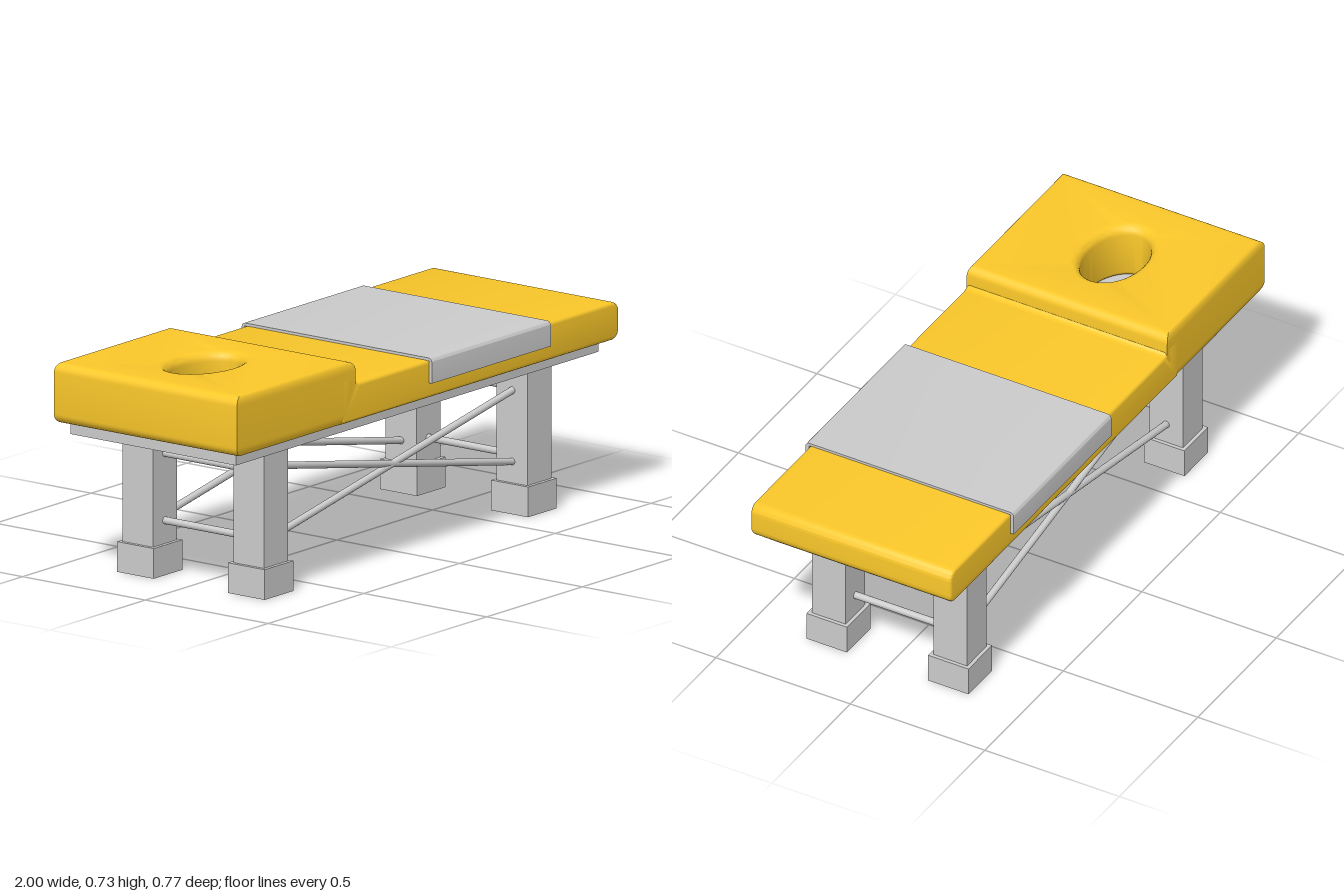
import * as THREE from 'three';
import { toCreasedNormals } from 'three/addons/utils/BufferGeometryUtils.js';

const grey = new THREE.MeshStandardMaterial({ color: 0xcccccc });
const yellow = new THREE.MeshStandardMaterial({ color: 0xfbc82a });

const HALF_Z = 0.373;   // half width of the cushions
const BOTTOM = 0.527;   // underside of the cushions

function add(parent, name, geometry, material = grey) {
  const mesh = new THREE.Mesh(geometry, material);
  mesh.name = name;
  parent.add(mesh);
  return mesh;
}

function box(parent, name, size, pos) {
  add(parent, name, new THREE.BoxGeometry(...size)).position.set(...pos);
}

// Round bar between two points
function bar(parent, name, a, b, radius = 0.012) {
  const from = new THREE.Vector3(...a), to = new THREE.Vector3(...b);
  const dir = to.clone().sub(from);
  const mesh = add(parent, name, new THREE.CylinderGeometry(radius, radius, dir.length(), 16));
  mesh.position.copy(from).add(to).multiplyScalar(0.5);
  mesh.quaternion.setFromUnitVectors(new THREE.Vector3(0, 1, 0), dir.normalize());
}

// Long cushion: side profile with rounded end and a fillet up to the headrest
function bodyCushion() {
  const top = 0.652, r = 0.035, inner = -0.45, step = -0.385, f = 0.028;
  const s = new THREE.Shape();
  s.moveTo(inner, BOTTOM);
  s.lineTo(1 - r, BOTTOM);
  s.absarc(1 - r, BOTTOM + r, r, -Math.PI / 2, 0);
  s.absarc(1 - r, top - r, r, 0, Math.PI / 2);
  s.lineTo(step + f, top);
  s.quadraticCurveTo(step, top, step, top + f);
  s.lineTo(inner, top + f);
  s.closePath();
  const b = 0.012;
  const g = new THREE.ExtrudeGeometry(s, {
    depth: 2 * (HALF_Z - b), bevelThickness: b, bevelSize: b, bevelOffset: -b,
    bevelSegments: 4, curveSegments: 8,
  });
  g.translate(0, 0, b - HALF_Z);
  return toCreasedNormals(g, 0.6);
}

// Raised headrest with an oval face opening, extruded upwards
function headCushion() {
  const x0 = -1, x1 = -0.38, top = 0.727, b = 0.032;
  const s = new THREE.Shape();
  s.moveTo(x0, -HALF_Z);
  s.lineTo(x1, -HALF_Z);
  s.lineTo(x1, HALF_Z);
  s.lineTo(x0, HALF_Z);
  s.closePath();
  const hole = new THREE.Path();
  hole.absellipse(-0.69, 0, 0.15, 0.1, 0, Math.PI * 2, true);
  s.holes.push(hole);
  const g = new THREE.ExtrudeGeometry(s, {
    depth: top - BOTTOM - 2 * b, bevelThickness: b, bevelSize: b, bevelOffset: -b,
    bevelSegments: 6, curveSegments: 32,
  });
  g.rotateX(-Math.PI / 2);
  g.translate(0, BOTTOM + b, 0);
  // Tighten the rounding along the two long sides
  const p = g.attributes.position;
  for (let i = 0; i < p.count; i++) {
    const z = p.getZ(i), inset = HALF_Z - Math.abs(z);
    if (inset < b + 0.001) p.setZ(i, Math.sign(z) * (HALF_Z - inset * 0.4));
  }
  return toCreasedNormals(g, 0.6);
}

// Towel: thin U-shaped strip draped over the cushion
function towelGeometry() {
  const out = 0.387, inn = 0.375, top = 0.661, under = 0.651, low = 0.578, r = 0.014;
  const s = new THREE.Shape();
  s.moveTo(-out, low);
  s.lineTo(-inn, low);
  s.lineTo(-inn, under);
  s.lineTo(inn, under);
  s.lineTo(inn, low);
  s.lineTo(out, low);
  s.absarc(out - r, top - r, r, 0, Math.PI / 2);
  s.absarc(r - out, top - r, r, Math.PI / 2, Math.PI);
  s.closePath();
  const g = new THREE.ExtrudeGeometry(s, { depth: 0.622, bevelEnabled: false, curveSegments: 6 });
  g.rotateY(Math.PI / 2);
  return toCreasedNormals(g, 0.6);
}

export function createModel() {
  const table = new THREE.Group();
  table.name = 'massageTable';

  add(table, 'bodyCushion', bodyCushion(), yellow);
  add(table, 'headCushion', headCushion(), yellow);
  add(table, 'towel', towelGeometry());
  box(table, 'baseBoard', [1.895, 0.04, 0.674], [-0.0125, 0.51, 0]);

  const legX = 0.688, legZ = 0.226, high = 0.4, low = 0.177;
  for (const sx of [-1, 1]) {
    // Legs with square feet
    for (const sz of [-1, 1]) {
      box(table, 'leg', [0.125, 0.4, 0.125], [sx * legX, 0.29, sz * legZ]);
      box(table, 'foot', [0.15, 0.1, 0.15], [sx * legX, 0.05, sz * legZ]);
    }
    // Short bars joining the legs at each end
    for (const y of [high, low])
      bar(table, 'endBar', [sx * legX, y, -legZ], [sx * legX, y, legZ]);
  }

  // Crossed braces along both sides
  for (const sz of [-1, 1])
    for (const sx of [-1, 1])
      bar(table, 'crossBrace', [-sx * 0.65, 0.411, sz * legZ], [sx * 0.65, 0.166, sz * legZ]);

  return table;
}
